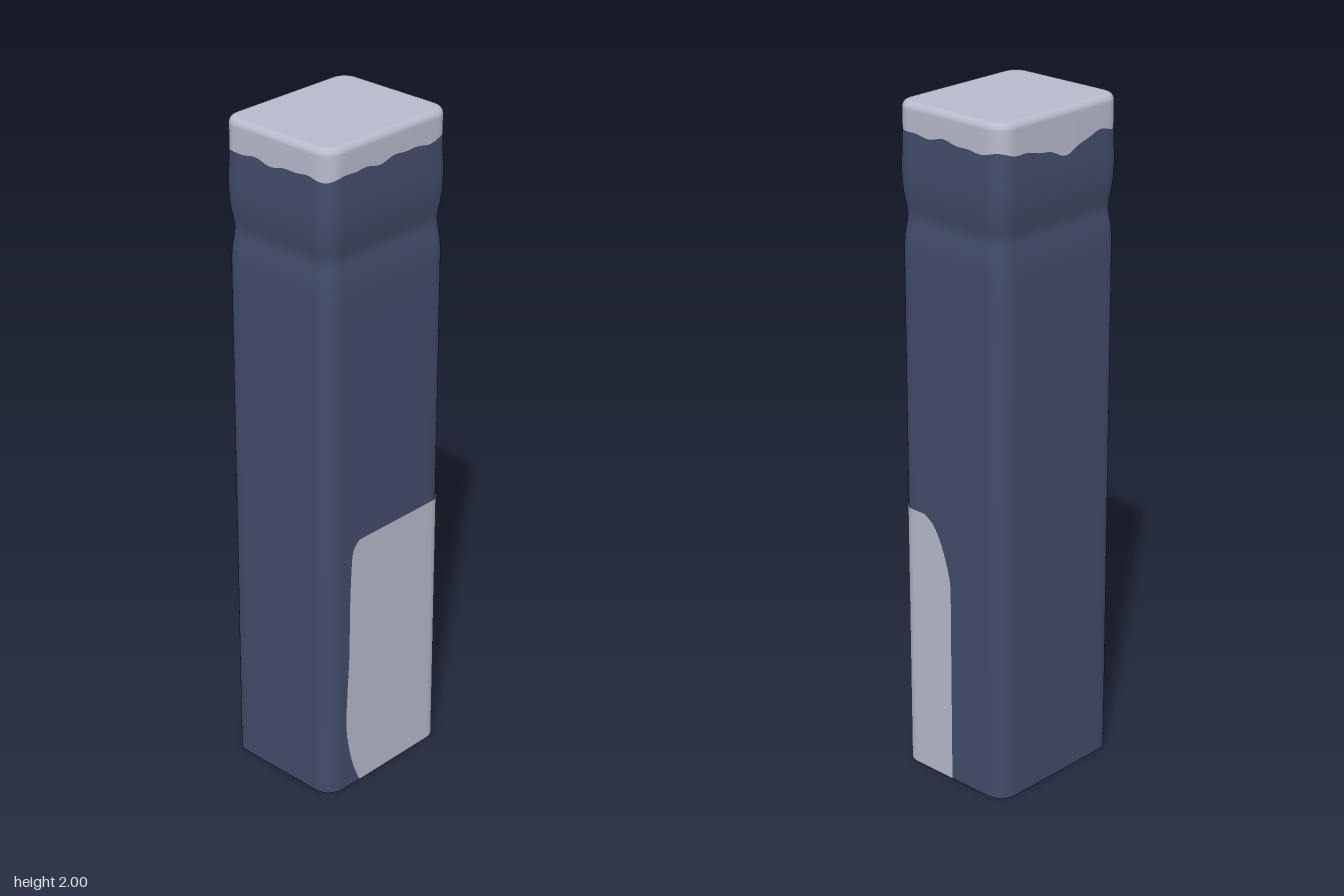
import * as THREE from 'three';

const HX = 0.197, HZ = 0.236, R = 0.053, TOP = 2;

// rounded rectangle outline, running from the middle of +x round by the back
const outline = new THREE.Path();
outline.moveTo(HX, 0);
outline.lineTo(HX, HZ - R);
outline.absarc(HX - R, HZ - R, R, 0, Math.PI / 2);
outline.absarc(R - HX, HZ - R, R, Math.PI / 2, Math.PI);
outline.absarc(R - HX, R - HZ, R, Math.PI, Math.PI * 1.5);
outline.absarc(HX - R, R - HZ, R, Math.PI * 1.5, Math.PI * 2);
outline.lineTo(HX, 0);
const LENGTH = outline.getLength();

const bump = (x, mid, width) => Math.exp(-(((x - mid) / width) ** 2));

// soft pinch below the cap with a small swelling above it
const swell = (y) => -0.011 * bump(y, 1.68, 0.045) + 0.004 * bump(y, 1.81, 0.06);

// point on the wall at distance s along the outline, pushed out by offset
function wallPoint(s, y, offset = 0, scale = 1) {
  const t = (((s / LENGTH) % 1) + 1) % 1;
  const p = outline.getPoint(t), d = outline.getTangent(t);
  const o = offset + swell(y);
  return [(p.x + d.y * o) * scale, y, -(p.y - d.x * o) * scale];
}

// sheet of quads from a point rule; closed sheets join the last column to the first
function sheet(rows, cols, closed, point) {
  const width = closed ? cols : cols + 1;
  const pos = [], index = [];
  for (let i = 0; i <= rows; i++)
    for (let j = 0; j < width; j++) pos.push(...point(i, j / cols));
  for (let i = 0; i < rows; i++)
    for (let j = 0; j < cols; j++) {
      const k = (j + 1) % width;
      const a = i * width + j, b = i * width + k;
      index.push(a, b, b + width, a, b + width, a + width);
    }
  const g = new THREE.BufferGeometry();
  g.setAttribute('position', new THREE.Float32BufferAttribute(pos, 3));
  g.setIndex(index);
  g.computeVertexNormals();
  return g;
}

// uneven lower edge of the cap, dipping on the -x side
function capEdge(s) {
  const a = (s / LENGTH) * Math.PI * 2;
  return 1.915 + 0.006 * Math.sin(a + 1) + 0.004 * Math.sin(a * 9) + 0.003 * Math.sin(a * 17 + 1)
    - 0.035 * bump(s, LENGTH / 2, 0.08);
}

export function createModel() {
  const group = new THREE.Group();
  const navy = new THREE.MeshStandardMaterial({ color: 0x434d6a, side: THREE.DoubleSide });
  navy.name = 'navy';
  const pale = new THREE.MeshStandardMaterial({ color: 0xb8bbcc, side: THREE.DoubleSide });
  pale.name = 'paleGrey';

  const add = (name, geometry, material) => {
    const mesh = new THREE.Mesh(geometry, material);
    mesh.name = name;
    group.add(mesh);
  };

  // body: open tube, rows gathered around the pinch
  const levels = [0, 0.4, 0.8, 1.2, 1.5, 1.56, 1.6, 1.63, 1.66, 1.68, 1.7, 1.73, 1.76, 1.8, 1.84, 1.87];
  add('body', sheet(levels.length, 176, true, (i, u) => {
    const s = u * LENGTH;
    return wallPoint(s, i < levels.length ? Math.min(levels[i], capEdge(s) - 0.002) : capEdge(s));
  }), navy);

  // cap: short wall, rounded rim and flat top
  const rim = 0.02, rimSteps = 6;
  add('cap', sheet(rimSteps + 4, 176, true, (i, u) => {
    const s = u * LENGTH;
    if (i < 2) return wallPoint(s, i === 0 ? capEdge(s) : 1.955);
    if (i <= rimSteps + 2) {
      const a = ((i - 2) / rimSteps) * Math.PI / 2;
      return wallPoint(s, TOP - rim + rim * Math.sin(a), -rim * (1 - Math.cos(a)));
    }
    return wallPoint(s, TOP, -rim, i === rimSteps + 3 ? 0.95 : 0);
  }), pale);

  // side patch: thin skin wrapping the +x and back faces
  const front = new THREE.SplineCurve([[-0.11, 0], [-0.142, 0.08], [-0.166, 0.2], [-0.163, 0.32],
    [-0.155, 0.45], [-0.153, 0.6], [-0.148, 0.72], [-0.14, 0.79], [-0.115, 0.818]]
    .map(([x, y]) => new THREE.Vector2(x, y)));
  const cornerStart = HZ - R, arc = R * Math.PI / 2;
  const backS = (x) => cornerStart + arc + (HX - R - x);
  const back = new THREE.SplineCurve([[0, 0], [0, 0.2], [0, 0.4], [0, 0.58], [0.005, 0.65],
    [0.03, 0.73], [0.055, 0.78], [0.075, 0.802], [0.1, 0.818]]
    .map(([x, y]) => new THREE.Vector2(backS(x), y)));
  add('sidePatch', sheet(40, 60, false, (i, u) => {
    const f = front.getPoint(i / 40), b = back.getPoint(i / 40);
    // straight runs on each face, finer steps round the corner
    const c0 = cornerStart, c1 = cornerStart + arc;
    const s = u < 0.3 ? THREE.MathUtils.lerp(f.x, c0, u / 0.3)
      : u < 0.7 ? THREE.MathUtils.lerp(c0, c1, (u - 0.3) / 0.4)
        : THREE.MathUtils.lerp(c1, b.x, (u - 0.7) / 0.3);
    const y = THREE.MathUtils.lerp(f.y, b.y, (s - f.x) / (b.x - f.x));
    return wallPoint(s, y, 0.002);
  }), pale);

  return group;
}
